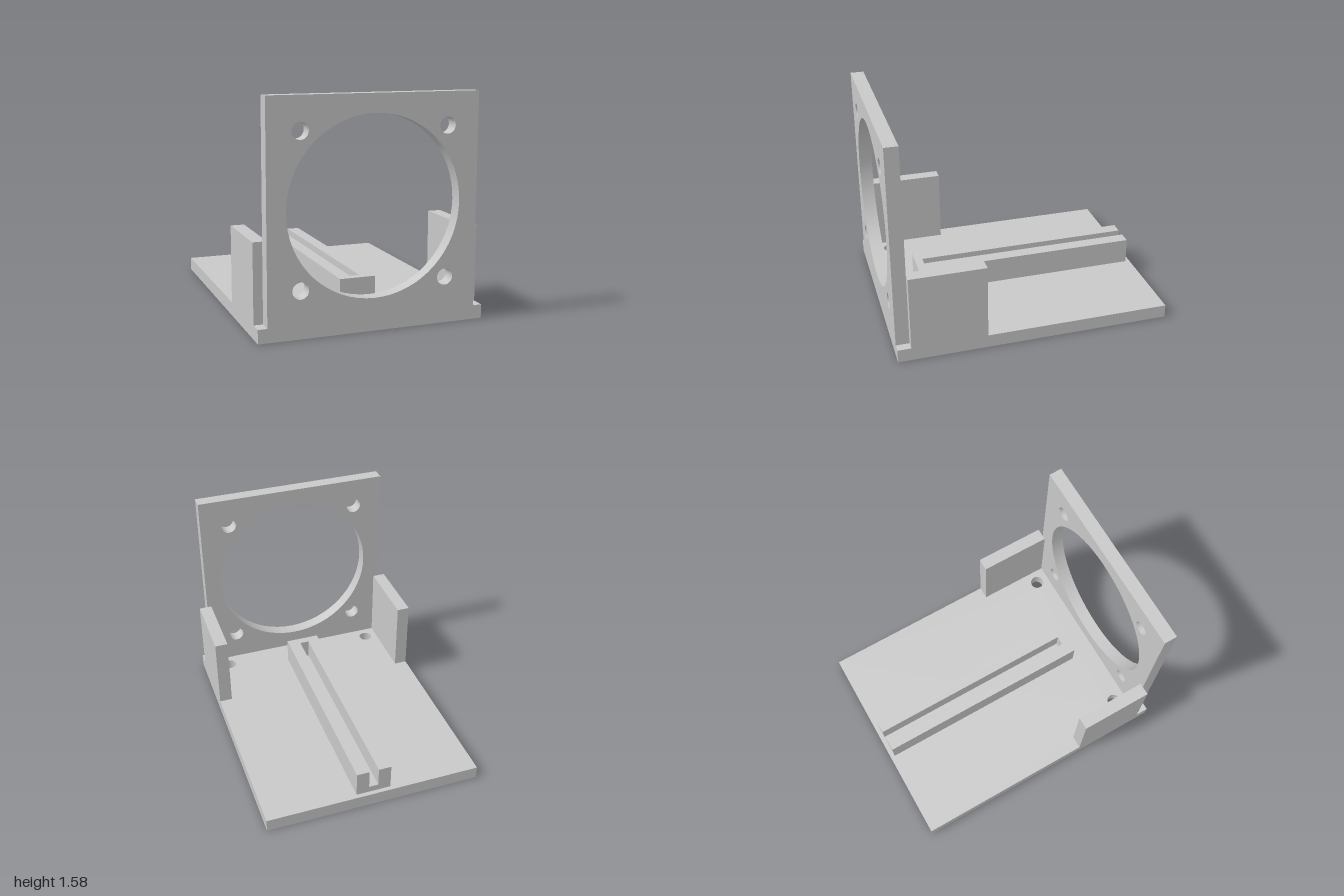
import * as THREE from 'three';
import { toCreasedNormals } from 'three/addons/utils/BufferGeometryUtils.js';

const BASE_TOP = 0.097, HALF_W = 0.806, PLATE_BACK = 0.903;

// Closed polygon with round holes given as [x, y, radius]
function holedShape(points, holes = []) {
  const shape = new THREE.Shape(points.map(([x, y]) => new THREE.Vector2(x, y)));
  for (const [x, y, r] of holes) {
    shape.holes.push(new THREE.Path().absarc(x, y, r, 0, Math.PI * 2, true));
  }
  return shape;
}

const rect = (x0, y0, x1, y1) => [[x0, y0], [x1, y0], [x1, y1], [x0, y1]];

// Extrude with crisp edges and smooth hole walls
function slab(shape, depth) {
  const geometry = new THREE.ExtrudeGeometry(shape, { depth, bevelEnabled: false, curveSegments: 32 });
  return toCreasedNormals(geometry, 0.6);
}

// Plan-view slab: shape y is -z, extruded upwards
const floorSlab = (shape, height) => slab(shape, height).rotateX(-Math.PI / 2);

export function createModel() {
  const model = new THREE.Group();
  model.name = 'fanMountBracket';
  const grey = new THREE.MeshStandardMaterial({ color: 0xc8c8c8 });
  grey.name = 'light grey plastic';

  const add = (name, geometry, x = 0, y = 0, z = 0) => {
    const mesh = new THREE.Mesh(geometry, grey);
    mesh.name = name;
    mesh.position.set(x, y, z);
    model.add(mesh);
  };

  // Base with two screw holes near the front
  const baseHoles = [-1, 1].map((s) => [s * 0.613, -0.803, 0.051]);
  add('basePlate', floorSlab(holedShape(rect(-HALF_W, -1, HALF_W, 1), baseHoles), BASE_TOP));

  // Upright plate with the large opening and four corner holes
  const plateHoles = [[0, 0.839, 0.613]];
  for (const x of [-0.516, 0.516]) {
    for (const y of [0.323, 1.355]) plateHoles.push([x, y, 0.057]);
  }
  const plate = holedShape(rect(-0.742, BASE_TOP, 0.742, 1.58), plateHoles);
  add('fanPlate', slab(plate, 1 - PLATE_BACK), 0, 0, PLATE_BACK);

  // Side walls behind the plate
  const wallDepth = PLATE_BACK - 0.355, wallHeight = 0.646 - BASE_TOP;
  for (const [name, s] of [['leftWall', 1], ['rightWall', -1]]) {
    add(name, new THREE.BoxGeometry(0.096, wallHeight, wallDepth),
      s * (HALF_W - 0.048), BASE_TOP + wallHeight / 2, 0.355 + wallDepth / 2);
  }

  // Slotted rail, closed at the front and open at the back
  const slotFloor = 0.145, railTop = 0.29, w = 0.13, slot = 0.035;
  const railOutline = rect(-w, -0.705, w, 0.968);
  add('railFoot', floorSlab(holedShape(railOutline), slotFloor - BASE_TOP), 0, BASE_TOP, 0);
  const railSides = [
    [-w, -0.705], [w, -0.705], [w, 0.968], [slot, 0.968],
    [slot, -0.645], [-slot, -0.645], [-slot, 0.968], [-w, 0.968],
  ];
  add('railSides', floorSlab(holedShape(railSides), railTop - slotFloor), 0, slotFloor, 0);

  return model;
}
